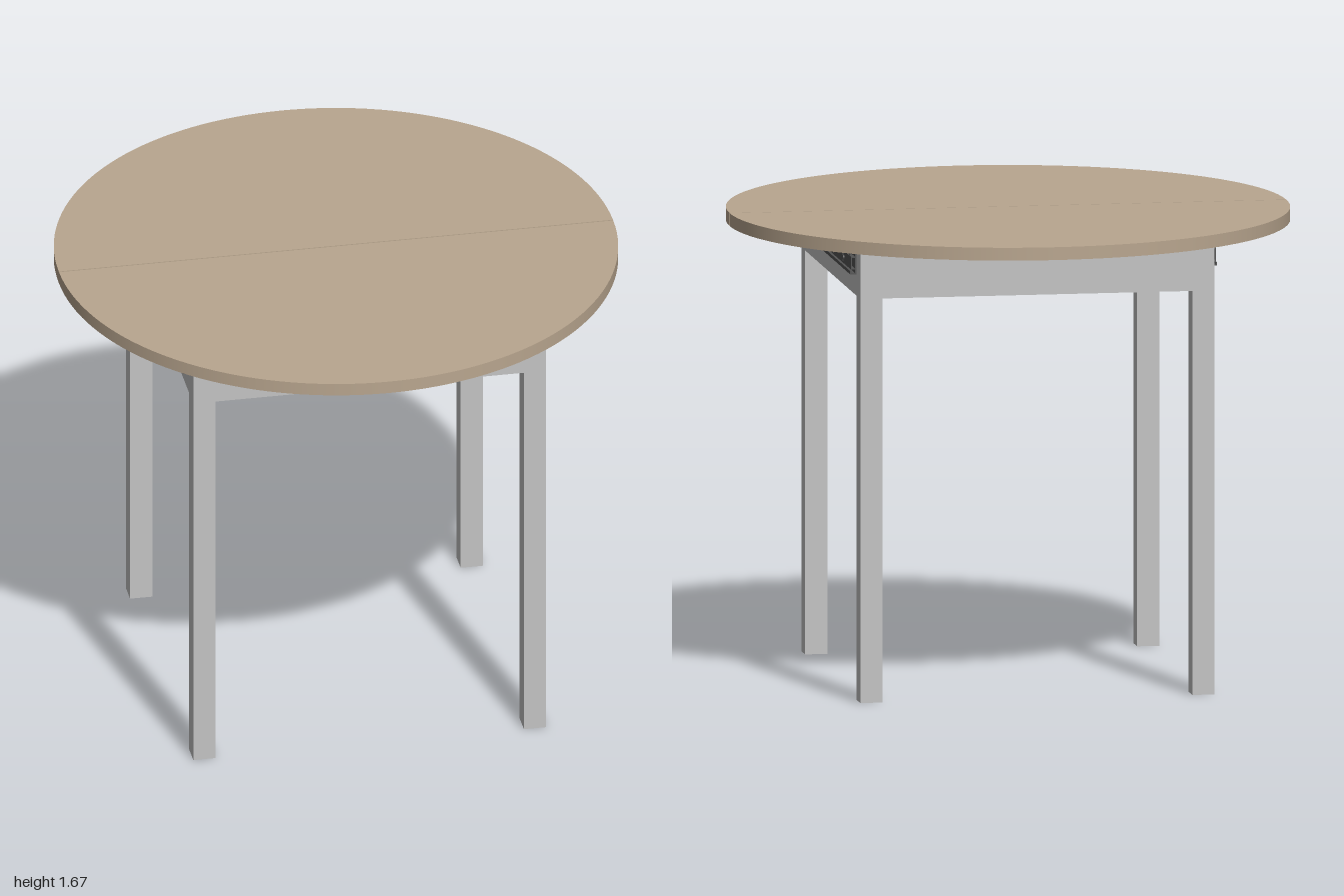
import * as THREE from 'three';

export function createModel() {
  const model = new THREE.Group();
  model.name = 'roundTable';

  const wood = new THREE.MeshStandardMaterial({ color: 0xb9a68f });
  wood.name = 'light wood';
  const frame = new THREE.MeshStandardMaterial({ color: 0xc4c4c4 });
  frame.name = 'grey frame';
  const metal = new THREE.MeshStandardMaterial({ color: 0x555555 });
  metal.name = 'dark metal';

  const add = (parent, name, geometry, material, x, y, z) => {
    const mesh = new THREE.Mesh(geometry, material);
    mesh.name = name;
    mesh.position.set(x, y, z);
    parent.add(mesh);
    return mesh;
  };
  const box = (parent, name, material, size, pos) =>
    add(parent, name, new THREE.BoxGeometry(...size), material, ...pos);

  // Table top: two half discs with a fine seam between them
  const topY = 1.667, thick = 0.046, seam = 0.005, radius = 1 - seam / 2;
  for (const side of [1, -1]) {
    const half = new THREE.Group();
    half.name = side > 0 ? 'frontTopHalf' : 'backTopHalf';
    add(half, 'halfDisc',
      new THREE.CylinderGeometry(radius, radius, thick, 72, 1, false, -Math.PI / 2, Math.PI),
      wood, 0, 0, 0);
    const cut = add(half, 'seamFace', new THREE.PlaneGeometry(radius * 2, thick), wood, 0, 0, 0);
    cut.rotation.y = Math.PI;
    half.position.set(0, topY - thick / 2, side * seam / 2);
    if (side < 0) half.rotation.y = Math.PI;
    model.add(half);
  }

  // Square legs and the aprons flush between them
  const legTop = topY - thick, legW = 0.08, legAt = 0.595;
  const apronH = 0.177, apronY = legTop - apronH / 2, span = 2 * legAt - legW;
  for (const s of [1, -1]) {
    for (const t of [1, -1]) {
      box(model, 'leg', frame, [legW, legTop, legW], [s * legAt, legTop / 2, t * legAt]);
    }
    box(model, 'endApron', frame, [span, apronH, legW], [0, apronY, s * legAt]);
    box(model, 'sideApron', frame, [legW, apronH, span], [s * legAt, apronY, 0]);
  }

  // Extension slide: C-channel, inner rail, ball cages and rivets on each side
  const slide = (name) => {
    const g = new THREE.Group();
    g.name = name;
    const len = 1.1;
    box(g, 'channelBack', metal, [0.005, 0.08, len], [0.0025, 0, 0]);
    for (const s of [1, -1]) {
      box(g, 'channelFlange', metal, [0.022, 0.005, len], [0.011, s * 0.0375, 0]);
      box(g, 'channelLip', metal, [0.004, 0.012, len], [0.02, s * 0.034, 0]);
      box(g, 'railFlange', metal, [0.014, 0.004, len], [0.012, s * 0.021, 0]);
    }
    box(g, 'innerRail', metal, [0.004, 0.042, len], [0.017, 0, 0]);
    for (let i = -2; i <= 2; i++) {
      const rivet = add(g, 'rivet', new THREE.CylinderGeometry(0.008, 0.008, 0.006, 12),
        metal, 0.021, 0, i * 0.2);
      rivet.rotation.z = Math.PI / 2;
      box(g, 'cageStop', metal, [0.005, 0.03, 0.006], [0.02, 0, i * 0.2 + 0.02]);
    }
    // Release tab at mid length
    box(g, 'releaseTab', metal, [0.066, 0.005, 0.02], [0.052, 0.012, 0]);
    box(g, 'tabStop', metal, [0.006, 0.018, 0.02], [0.036, 0.012, 0]);
    return g;
  };
  for (const s of [1, -1]) {
    const g = slide(s > 0 ? 'leftSlide' : 'rightSlide');
    g.position.set(s * (legAt + legW / 2), 1.56, 0);
    if (s < 0) g.rotation.y = Math.PI;
    model.add(g);
  }

  return model;
}
